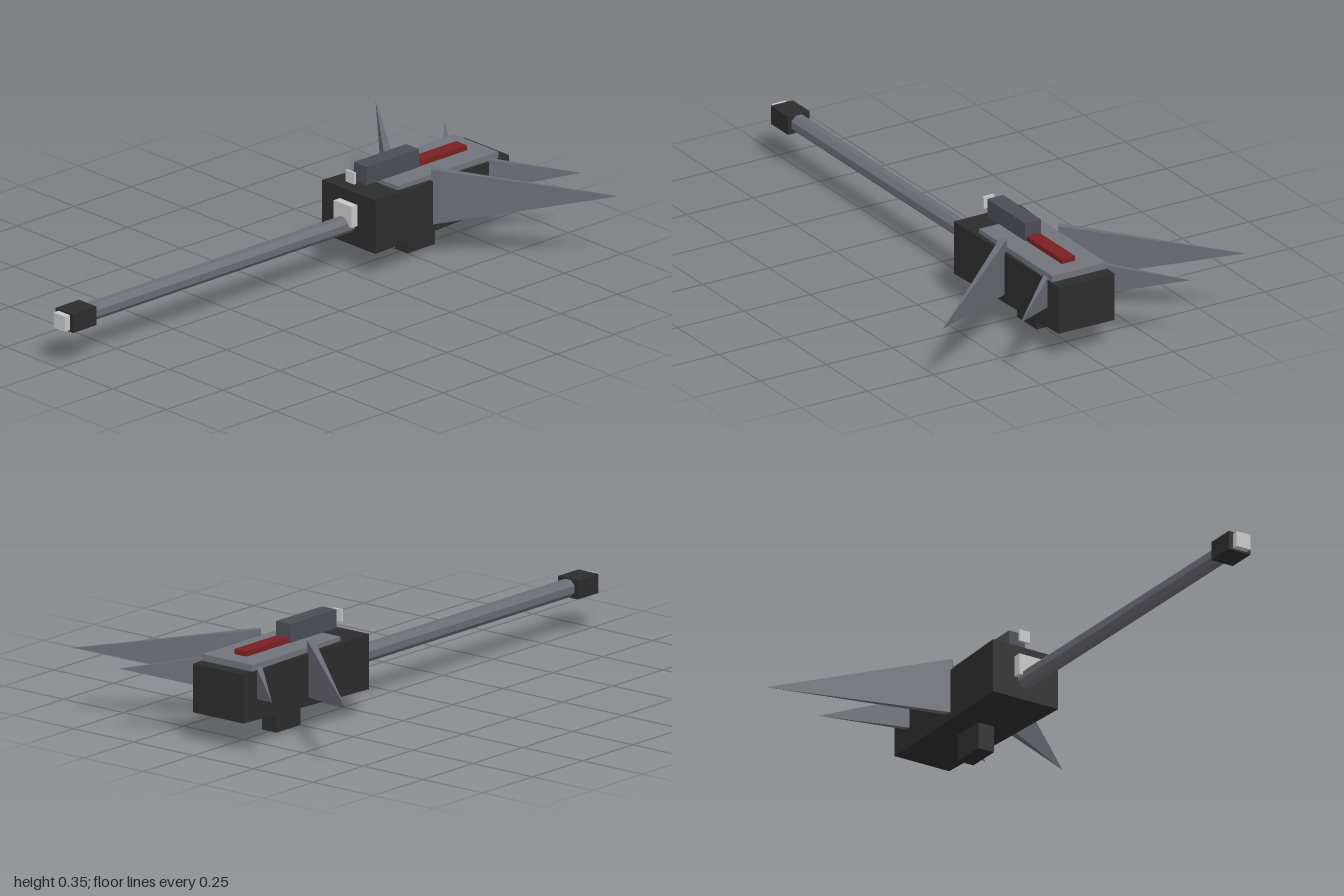
import * as THREE from 'three';
import { ConvexGeometry } from 'three/addons/geometries/ConvexGeometry.js';

function material(name, color) {
  const m = new THREE.MeshStandardMaterial({ color });
  m.name = name;
  return m;
}

export function createModel() {
  const model = new THREE.Group();
  model.name = 'blaster';

  const black = material('black', 0x2c2c2c);
  const grey = material('steel grey', 0x6b6c75);
  const plateGrey = material('plate grey', 0x70747b);
  const slate = material('slate', 0x4a4e54);
  const red = material('red', 0x7a2022);
  const light = material('light grey', 0xc8c8c8);

  function add(name, geometry, mat) {
    const mesh = new THREE.Mesh(geometry, mat);
    mesh.name = name;
    model.add(mesh);
    return mesh;
  }

  // Box given by half width, y range and z range
  function block(name, halfX, y0, y1, z0, z1, mat) {
    const mesh = add(name, new THREE.BoxGeometry(halfX * 2, y1 - y0, z1 - z0), mat);
    mesh.position.set(0, (y0 + y1) / 2, (z0 + z1) / 2);
    return mesh;
  }

  // Receiver body, narrowing toward the back
  const body = block('body', 0.125, 0.087, 0.271, -0.875, -0.27, black);
  const p = body.geometry.attributes.position;
  for (let i = 0; i < p.count; i++) {
    if (p.getZ(i) < 0) {
      p.setX(i, p.getX(i) * 0.84);
      p.setY(i, p.getY(i) * 0.88);
    }
  }
  body.geometry.computeVertexNormals();

  // Top plate, sight and grip
  block('topPlate', 0.103, 0.25, 0.283, -0.83, -0.387, plateGrey);
  block('redStrip', 0.025, 0.28, 0.3, -0.765, -0.54, red);
  block('sight', 0.03, 0.284, 0.346, -0.55, -0.32, slate);
  block('sightLens', 0.02, 0.295, 0.335, -0.282, -0.274, light);
  block('grip', 0.03, 0, 0.11, -0.62, -0.5, black);

  // Barrel with collar and muzzle
  block('barrelCollar', 0.042, 0.16, 0.232, -0.28, -0.243, light);
  const barrelGeo = new THREE.CylinderGeometry(0.0305, 0.0305, 1.17, 8).toNonIndexed();
  barrelGeo.computeVertexNormals();
  barrelGeo.rotateY(Math.PI / 8);
  barrelGeo.rotateX(Math.PI / 2);
  add('barrel', barrelGeo, grey).position.set(0, 0.158, 0.305);
  block('muzzle', 0.041, 0.126, 0.19, 0.875, 0.978, black);
  block('muzzleTip', 0.026, 0.132, 0.184, 0.97, 1, light);

  // Swept fin: thin upright rectangle at the root, tapering to a point
  function fin(name, side, root, y0, y1, tip, thickness) {
    const dx = tip[0] - root[0];
    const dz = tip[2] - root[1];
    const k = thickness / 2 / Math.hypot(dx, dz);
    const points = [new THREE.Vector3(side * tip[0], tip[1], tip[2])];
    for (const t of [-k, k]) {
      for (const y of [y0, y1]) {
        points.push(new THREE.Vector3(side * (root[0] - dz * t), y, root[1] + dx * t));
      }
    }
    add(name, new ConvexGeometry(points), grey);
  }

  for (const [label, side] of [['left', 1], ['right', -1]]) {
    fin(label + 'FrontFin', side, [0.104, -0.537], 0.115, 0.305, [0.57, 0.24, -0.92], 0.025);
    fin(label + 'RearFin', side, [0.1, -0.79], 0.162, 0.268, [0.32, 0.23, -0.99], 0.02);
  }

  return model;
}
